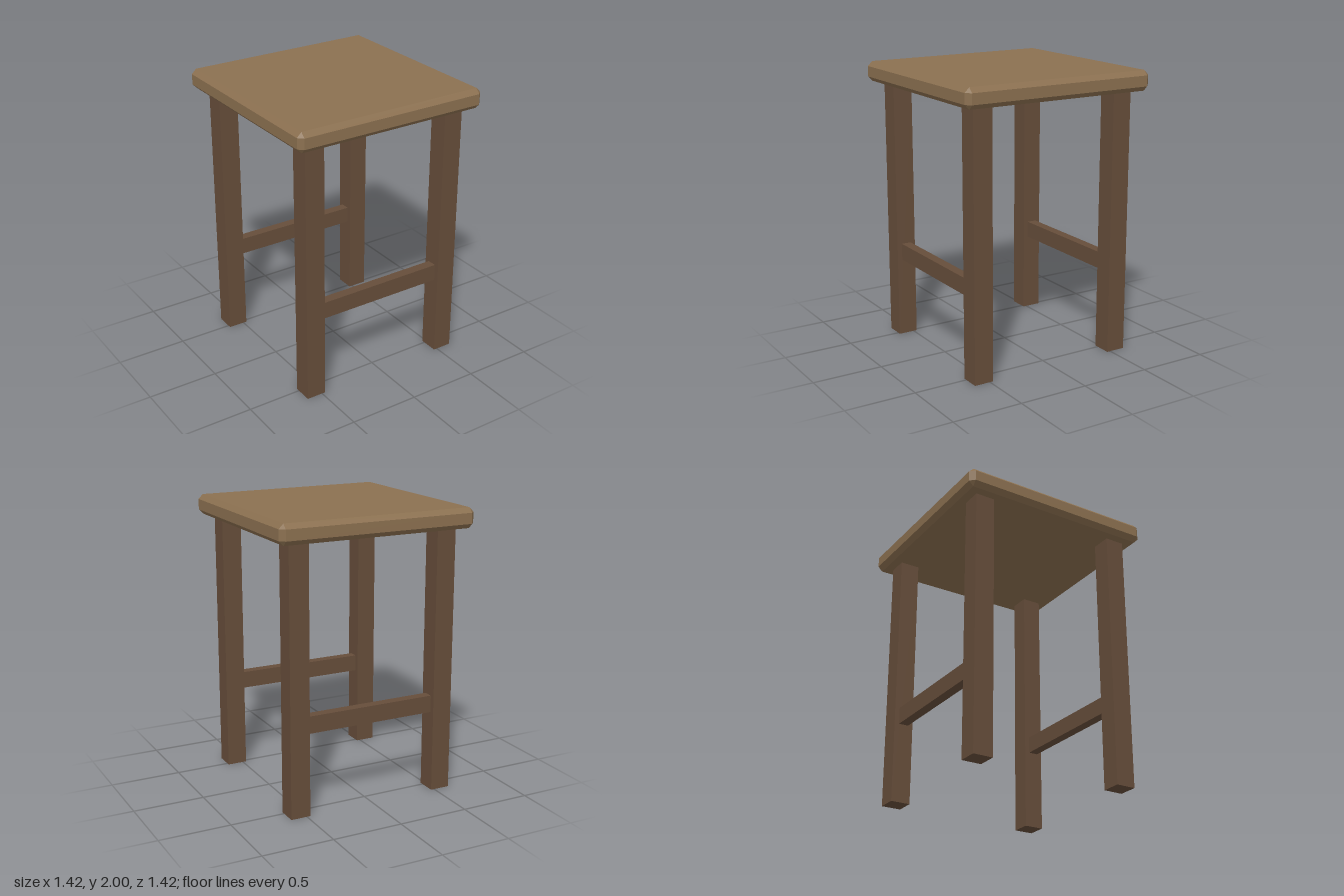
import * as THREE from 'three';
import { ConvexGeometry } from 'three/addons/geometries/ConvexGeometry.js';

const material = (name, color) => {
  const m = new THREE.MeshStandardMaterial({ color });
  m.name = name;
  return m;
};

// Box with every edge cut by a flat bevel
function chamferedBox(w, h, d, c) {
  const points = [];
  for (const sx of [-1, 1]) for (const sy of [-1, 1]) for (const sz of [-1, 1]) {
    for (let axis = 0; axis < 3; axis++) {
      const half = [w / 2, h / 2, d / 2].map((v, i) => (i === axis ? v : v - c));
      points.push(new THREE.Vector3(sx * half[0], sy * half[1], sz * half[2]));
    }
  }
  return new ConvexGeometry(points);
}

export function createModel() {
  const group = new THREE.Group();
  group.name = 'stool';
  const seatWood = material('light wood', 0x8b7050);
  const legWood = material('dark wood', 0x664d3a);

  const add = (name, geometry, mat, x, y, z) => {
    const mesh = new THREE.Mesh(geometry, mat);
    mesh.name = name;
    mesh.position.set(x, y, z);
    group.add(mesh);
  };

  // Bevelled square seat
  add('seat', chamferedBox(1.42, 0.14, 1.42, 0.033), seatWood, 0, 1.93, 0);

  // Four square legs, with a stretcher between each front and back pair
  const legAt = 0.545, legWidth = 0.14, legHeight = 1.86;
  const legGeometry = new THREE.BoxGeometry(legWidth, legHeight, legWidth);
  const stretcherGeometry = new THREE.BoxGeometry(2 * legAt - legWidth, 0.12, 0.07);
  for (const [end, sz] of [['front', 1], ['back', -1]]) {
    for (const [side, sx] of [['Left', 1], ['Right', -1]]) {
      add(`${end}${side}Leg`, legGeometry, legWood, sx * legAt, legHeight / 2, sz * legAt);
    }
    add(`${end}Stretcher`, stretcherGeometry, legWood, 0, 0.63, sz * legAt);
  }
  return group;
}
